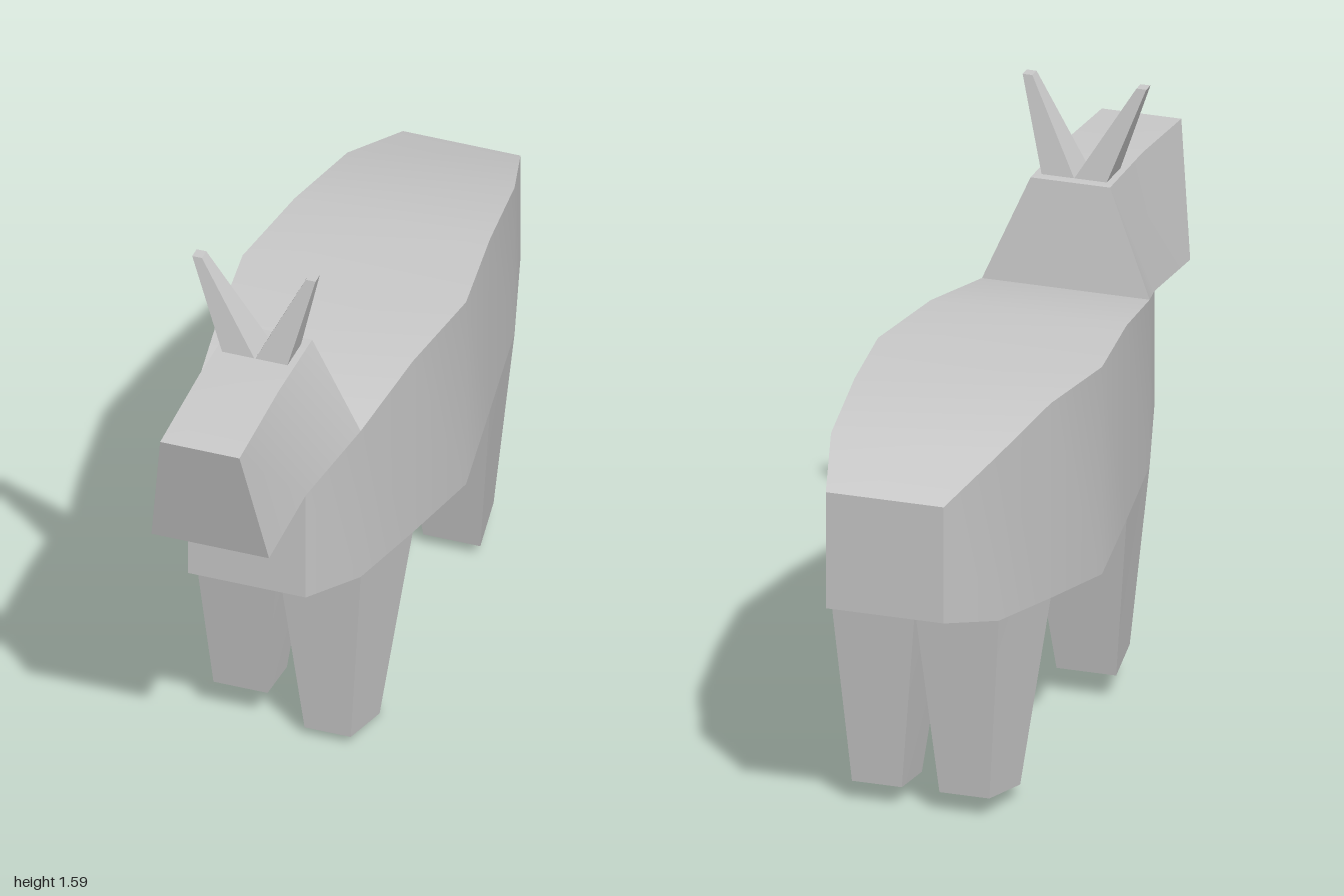
import * as THREE from 'three';
import { toCreasedNormals } from 'three/addons/utils/BufferGeometryUtils.js';

const material = new THREE.MeshStandardMaterial({ color: 0xcccccc });

// Skin a run of four-cornered rings (counterclockwise seen from the last ring) and close both ends.
function loft(name, rings) {
  const pos = [];
  const quad = (a, b, c, d) => pos.push(...a, ...b, ...c, ...a, ...c, ...d);
  for (let i = 0; i + 1 < rings.length; i++) {
    const r = rings[i], s = rings[i + 1];
    for (let j = 0; j < 4; j++) {
      const k = (j + 1) % 4;
      quad(r[j], r[k], s[k], s[j]);
    }
  }
  quad(...[...rings[0]].reverse());
  quad(...rings[rings.length - 1]);
  const geometry = new THREE.BufferGeometry();
  geometry.setAttribute('position', new THREE.Float32BufferAttribute(pos, 3));
  const mesh = new THREE.Mesh(toCreasedNormals(geometry, 0.45), material);
  mesh.name = name;
  return mesh;
}

// Upright ring: bottom edge and top edge, each as [half width, y, z].
const upright = ([wb, yb, zb], [wt, yt, zt]) =>
  [[-wb, yb, zb], [wb, yb, zb], [wt, yt, zt], [-wt, yt, zt]];

// Level ring: front edge and back edge, each as [inner x, outer x, y, z].
// side = 1 or -1 mirrors it and keeps the winding.
function level(side, [fi, fo, fy, fz], [bi, bo, by, bz]) {
  const ring = [[fi * side, fy, fz], [fo * side, fy, fz], [bo * side, by, bz], [bi * side, by, bz]];
  return side > 0 ? ring : [ring[1], ring[0], ring[3], ring[2]];
}

export function createModel() {
  const group = new THREE.Group();

  // Barrel body: z, half width, bottom, top
  const stations = [
    [-1, 0.163, 0.645, 0.97], [-0.765, 0.232, 0.575, 1.04], [-0.47, 0.271, 0.535, 1.08],
    [-0.18, 0.31, 0.5, 1.08], [0.12, 0.271, 0.535, 1.08], [0.41, 0.232, 0.575, 1.04],
    [0.64, 0.163, 0.645, 0.97],
  ];
  group.add(loft('body', stations.map(([z, w, b, t]) => upright([w, b, z], [w, t, z]))));

  // Neck running forward into the muzzle
  group.add(loft('head', [
    upright([0.232, 1.04, 0.41], [0.11, 1.325, 0.445]),
    upright([0.163, 0.97, 0.64], [0.11, 1.33, 0.7]),
    upright([0.163, 0.955, 0.92], [0.11, 1.313, 1]),
  ]));

  // Ears, splayed a little unevenly
  for (const [name, side, tip] of [['leftEar', 1, 0.128], ['rightEar', -1, 0.16]]) {
    group.add(loft(name, [
      level(side, [0, 0.09, 1.325, 0.58], [0, 0.09, 1.325, 0.475]),
      level(side, [tip, tip + 0.027, 1.585, 0.543], [tip, tip + 0.027, 1.585, 0.51]),
    ]));
  }

  // Front legs: the right one is slightly lifted
  const frontTop = [[0, 0.232, 0.575, 0.41], [0, 0.271, 0.535, 0.12]];
  group.add(loft('leftFrontLeg', [
    level(1, [0.06, 0.188, 0.025, 0.365], [0.065, 0.21, 0, 0.205]),
    level(1, ...frontTop),
  ]));
  group.add(loft('rightFrontLeg', [
    level(-1, [0.05, 0.2, 0.095, 0.345], [0.055, 0.22, 0.07, 0.183]),
    level(-1, ...frontTop),
  ]));

  // Hind legs
  for (const [name, side] of [['leftHindLeg', 1], ['rightHindLeg', -1]]) {
    group.add(loft(name, [
      level(side, [0.057, 0.215, 0.035, -0.55], [0.052, 0.19, 0.055, -0.72]),
      level(side, [0, 0.271, 0.535, -0.47], [0, 0.232, 0.575, -0.765]),
    ]));
  }
  return group;
}
